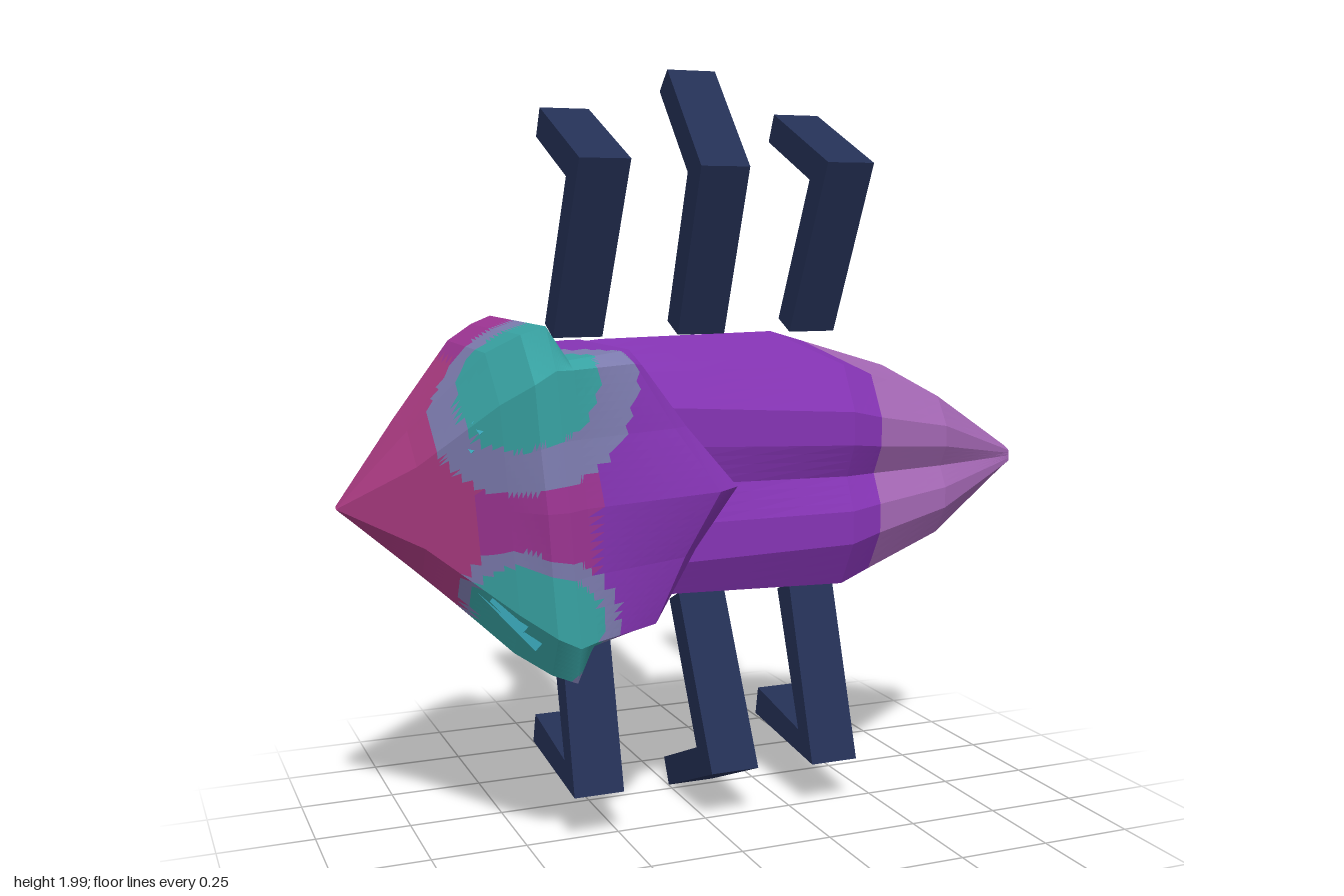
import * as THREE from 'three';

const paint = (name, color) => {
  const m = new THREE.MeshStandardMaterial({ color, side: THREE.DoubleSide });
  m.name = name;
  return m;
};

// Ten-point cross-section: flat underside (zb), sides (zs) and a twin-lobed back (zf).
// Back points slide from x towards xMid at the centre line, which makes a chevron.
function ring({ x, xMid = x, yc, hb, zb, hs, zs, hf, zf, groove = 0, shear = 0 }) {
  const at = (h, z, t = 0) => new THREE.Vector3(x + (xMid - x) * t - shear * h, yc + h, z);
  return [
    at(-hb, zb), at(0, zb - 0.005), at(hb, zb), at(hs, zs), at(hf, zf, 0.05),
    at(hf * 0.5, zf, 0.5), at(0, zf - groove, 1), at(-hf * 0.5, zf, 0.5),
    at(-hf, zf, 0.05), at(-hs, zs),
  ];
}

// Skin over rings running along +x; each small face takes the colour chosen by pick().
function loft(name, rings, materials, pick, n = 6) {
  const buckets = materials.map(() => []);
  const count = rings[0].length;
  const tri = (a, b, c) => {
    const mid = new THREE.Vector3().add(a).add(b).add(c).divideScalar(3);
    for (const p of [a, b, c]) buckets[pick(mid)].push(p.x, p.y, p.z);
  };
  for (let i = 0; i < rings.length - 1; i++) {
    for (let j = 0; j < count; j++) {
      const k = (j + 1) % count;
      const P = (u, v) => rings[i][j].clone().lerp(rings[i][k], v)
        .lerp(rings[i + 1][j].clone().lerp(rings[i + 1][k], v), u);
      for (let a = 0; a < n; a++) {
        for (let b = 0; b < n; b++) {
          const p00 = P(a / n, b / n), p10 = P((a + 1) / n, b / n);
          const p01 = P(a / n, (b + 1) / n), p11 = P((a + 1) / n, (b + 1) / n);
          tri(p00, p01, p10);
          tri(p10, p01, p11);
        }
      }
    }
  }
  const geo = new THREE.BufferGeometry();
  const all = [];
  buckets.forEach((list, m) => {
    if (list.length) geo.addGroup(all.length / 3, list.length / 3, m);
    for (const v of list) all.push(v);
  });
  geo.setAttribute('position', new THREE.Float32BufferAttribute(all, 3));
  geo.computeVertexNormals();
  const mesh = new THREE.Mesh(geo, materials);
  mesh.name = name;
  return mesh;
}

// Bent leg: a mitred bar in the z-y plane, given width along x and a slight sideways lean.
function leg(name, path, x0, x1, material) {
  const half = 0.04, width = 0.135;
  const [a, b, c] = path.map(([z, y]) => new THREE.Vector2(z, y));
  const normal = (p, q) => {
    const d = q.clone().sub(p).normalize();
    return new THREE.Vector2(-d.y, d.x);
  };
  const n1 = normal(a, b), n2 = normal(b, c);
  const miter = n1.clone().add(n2).normalize();
  miter.multiplyScalar(Math.min(1 / miter.dot(n1), 1.5));
  const side = (s) => [[a, n1], [b, miter], [c, n2]]
    .map(([p, n]) => p.clone().addScaledVector(n, s * half));
  const shape = new THREE.Shape([...side(1), ...side(-1).reverse()]);
  const geo = new THREE.ExtrudeGeometry(shape, { depth: width, bevelEnabled: false });
  geo.rotateY(-Math.PI / 2).translate(width / 2, 0, 0);
  const pos = geo.attributes.position;
  const far = path[2][1];
  for (let i = 0; i < pos.count; i++) {
    const t = (pos.getY(i) - path[0][1]) / (far - path[0][1]);
    pos.setX(i, pos.getX(i) + x0 + (x1 - x0) * t);
  }
  geo.computeVertexNormals();
  const mesh = new THREE.Mesh(geo, material);
  mesh.name = name;
  return mesh;
}

export function createModel() {
  const model = new THREE.Group();
  model.name = 'beetle';
  const purple = paint('purple shell', 0x8534b4);
  const mauve = paint('mauve tail', 0xa568b5);
  const rose = paint('rose snout', 0xab3b82);
  const magenta = paint('magenta head', 0x9e3594);
  const teal = paint('teal cheek', 0x38a3a3);
  const slate = paint('slate blend', 0x7d7caf);
  const navy = paint('navy leg', 0x243055);
  const cyan = paint('cyan eye', 0x40b8cc);

  // Abdomen with grooved wing cases, tapering to the tail
  const abdomen = [
    { x: -0.44, yc: 0.94, hb: 0.33, zb: -0.235, hs: 0.27, zs: 0.04, hf: 0.2, zf: 0.08 },
    { x: -0.2, yc: 0.945, hb: 0.345, zb: -0.26, hs: 0.285, zs: 0.1, hf: 0.2, zf: 0.145, groove: 0.02 },
    { x: 0.3, yc: 0.955, hb: 0.345, zb: -0.25, hs: 0.285, zs: 0.2, hf: 0.17, zf: 0.265, groove: 0.04 },
    { x: 0.39, yc: 0.955, hb: 0.317, zb: -0.23, hs: 0.256, zs: 0.18, hf: 0.15, zf: 0.242, groove: 0.04 },
    { x: 0.62, yc: 0.955, hb: 0.245, zb: -0.18, hs: 0.185, zs: 0.13, hf: 0.11, zf: 0.18, groove: 0.03 },
    { x: 0.935, yc: 0.945, hb: 0.025, zb: -0.07, hs: 0.025, zs: -0.02, hf: 0.015, zf: 0 },
    { x: 0.936, yc: 0.945, hb: 0, zb: -0.035, hs: 0, zs: -0.035, hf: 0, zf: -0.035 },
  ].map(ring);
  model.add(loft('abdomen', abdomen, [purple, mauve], (p) => (p.x > 0.39 ? 1 : 0), 4));

  // Head with flared cheeks, running into the chevron-edged shield
  const head = [
    { x: -0.94, yc: 0.9, hb: 0.004, zb: -0.12, hs: 0.004, zs: -0.1, hf: 0.002, zf: -0.095 },
    { x: -0.77, yc: 0.92, hb: 0.19, zb: -0.16, hs: 0.18, zs: 0.01, hf: 0.1, zf: 0.08 },
    { x: -0.6, yc: 0.93, hb: 0.37, zb: -0.21, hs: 0.365, zs: 0.17, hf: 0.25, zf: 0.26 },
    { x: -0.53, yc: 0.93, hb: 0.41, zb: -0.23, hs: 0.41, zs: 0.24, hf: 0.3, zf: 0.325, groove: -0.01 },
    { x: -0.475, yc: 0.93, hb: 0.43, zb: -0.24, hs: 0.43, zs: 0.265, hf: 0.33, zf: 0.32, groove: -0.01 },
    { x: -0.43, yc: 0.935, hb: 0.345, zb: -0.24, hs: 0.345, zs: 0.27, hf: 0.325, zf: 0.31, groove: -0.01 },
    { x: -0.27, xMid: -0.07, yc: 0.945, hb: 0.345, zb: -0.255, hs: 0.345, zs: 0.18, hf: 0.32, zf: 0.25, groove: -0.02 },
    { x: -0.23, xMid: 0, yc: 0.945, hb: 0.345, zb: -0.257, hs: 0.345, zs: 0.13, hf: 0.31, zf: 0.185, groove: -0.025 },
    { x: -0.25, xMid: -0.06, yc: 0.945, hb: 0.335, zb: -0.25, hs: 0.28, zs: 0.08, hf: 0.24, zf: 0.1 },
  ].map((r) => ring({ ...r, shear: 0.08 }));
  const cheekTop = new THREE.Vector3(-0.55, 1.23, 0.22);
  const cheekLow = new THREE.Vector3(-0.53, 0.65, 0.22);
  const headColor = (p) => {
    const top = p.distanceTo(cheekTop), low = p.distanceTo(cheekLow);
    if (top < 0.175 || low < 0.165) return 3;
    if (top < 0.27 || low < 0.2) return 4;
    if (p.x < -0.66) return 0;
    return p.x < -0.4 ? 1 : 2;
  };
  model.add(loft('headAndShield', head, [rose, magenta, purple, teal, slate], headColor, 8));

  // Slit eyes lying along the sloped cheeks
  for (const [name, s, x, y] of [['upperEye', 1, -0.615, 1.155], ['lowerEye', -1, -0.58, 0.685]]) {
    const along = new THREE.Vector3(0.13, 0.15 * s, 0.1).normalize();
    const out = new THREE.Vector3(-0.62, 0.22 * s, 0.75);
    out.addScaledVector(along, -out.dot(along)).normalize();
    const across = new THREE.Vector3().crossVectors(out, along);
    const eye = new THREE.Group();
    eye.name = name;
    const rim = new THREE.Mesh(new THREE.BoxGeometry(0.21, 0.065, 0.03), cyan);
    rim.name = 'eyePlate';
    const lid = new THREE.Mesh(new THREE.BoxGeometry(0.11, 0.035, 0.05), cyan);
    lid.name = 'eyeRidge';
    eye.add(rim, lid);
    eye.quaternion.setFromRotationMatrix(new THREE.Matrix4().makeBasis(along, across, out));
    eye.position.set(x, y, 0.215);
    model.add(eye);
  }

  // Three pairs of jointed legs; the middle pair reaches furthest
  const upper = (end) => [[-0.19, 1.32], [0, 1.735], end];
  const lower = (end) => [[-0.19, 0.58], [0, 0.165], end];
  const outerTop = [-0.305, 1.863], middleTop = [-0.2, 1.972];
  const outerLow = [-0.33, 0.205], middleLow = [-0.295, 0.04];
  model.add(
    leg('upperFrontLeg', upper(outerTop), -0.297, -0.285, navy),
    leg('upperMiddleLeg', upper(middleTop), 0.05, 0.03, navy),
    leg('upperRearLeg', upper(outerTop), 0.382, 0.393, navy),
    leg('lowerFrontLeg', lower(outerLow), -0.293, -0.313, navy),
    leg('lowerMiddleLeg', lower(middleLow), 0.052, 0.068, navy),
    leg('lowerRearLeg', lower(outerLow), 0.385, 0.368, navy),
  );
  return model;
}
